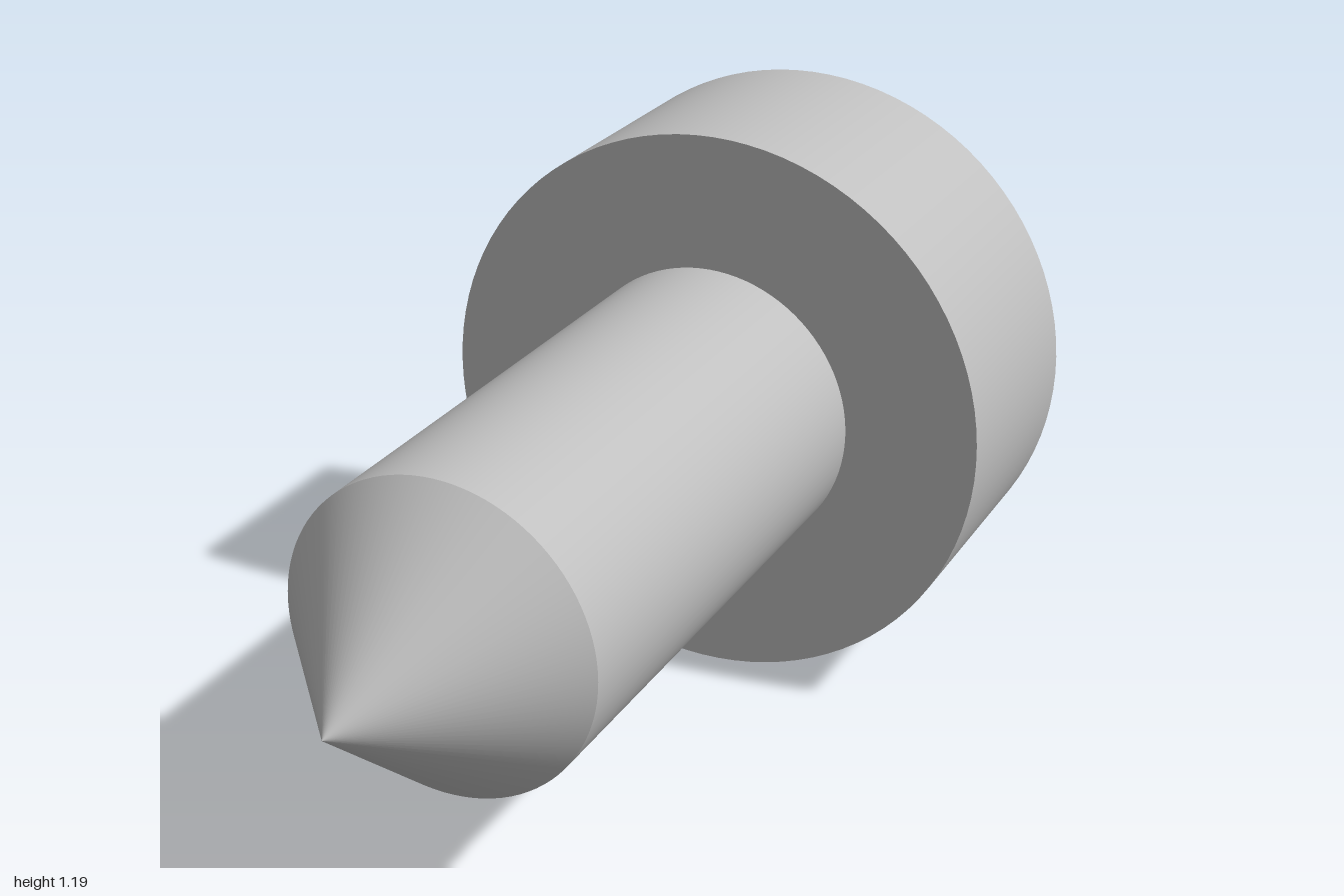
import * as THREE from 'three';

const SEGMENTS = 96;
const HEAD_RADIUS = 0.597, SHAFT_RADIUS = 0.314;
const BACK = -1, SHOULDER = -0.48, TIP_BASE = 0.63, TIP = 1;

export function createModel() {
  const model = new THREE.Group();
  model.name = 'pointedPin';
  const steel = new THREE.MeshStandardMaterial({ color: 0xc0c0c0 });
  steel.name = 'light grey';

  // Round part along z, from z0 (back) to z1 (front)
  function addRound(name, backRadius, frontRadius, z0, z1, open = false) {
    const geometry = new THREE.CylinderGeometry(frontRadius, backRadius, z1 - z0, SEGMENTS, 1, open);
    geometry.rotateX(Math.PI / 2);
    const mesh = new THREE.Mesh(geometry, steel);
    mesh.name = name;
    mesh.position.set(0, HEAD_RADIUS, (z0 + z1) / 2);
    model.add(mesh);
  }

  addRound('head', HEAD_RADIUS, HEAD_RADIUS, BACK, SHOULDER);
  addRound('shaft', SHAFT_RADIUS, SHAFT_RADIUS, SHOULDER, TIP_BASE, true);
  addRound('conicalTip', SHAFT_RADIUS, 0, TIP_BASE, TIP, true);

  return model;
}
